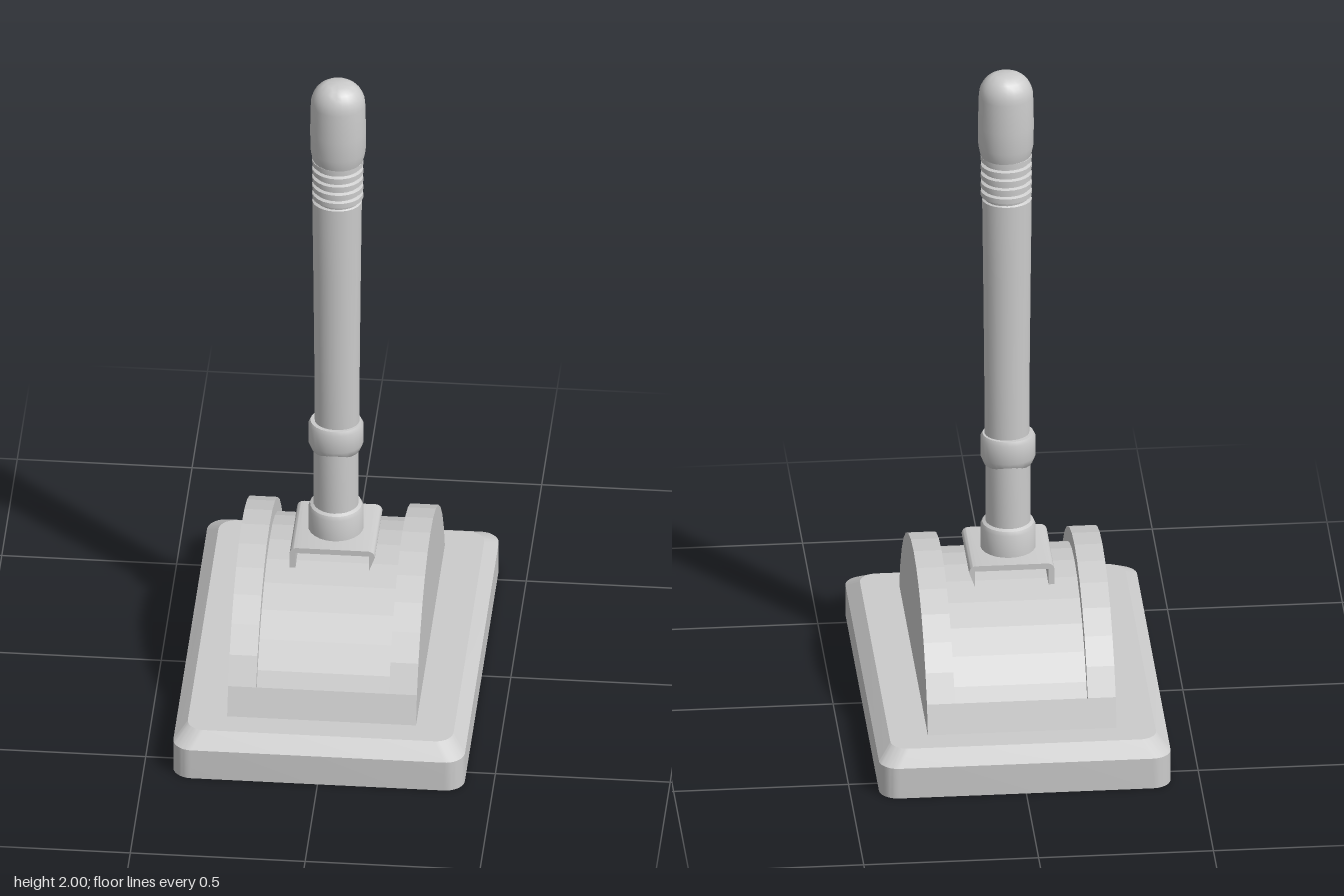
import * as THREE from 'three';
import { toCreasedNormals } from 'three/addons/utils/BufferGeometryUtils.js';

const material = new THREE.MeshStandardMaterial({ color: 0xcccccc, side: THREE.DoubleSide });

function addPart(parent, name, geometry, crease = 0.48) {
  const mesh = new THREE.Mesh(toCreasedNormals(geometry, crease), material);
  mesh.name = name;
  parent.add(mesh);
  return mesh;
}

// Slab with rounded corners whose top layer is pulled in to form a chamfer
function baseGeometry() {
  const w = 0.417, d = 0.6, r = 0.055;
  const s = new THREE.Shape();
  s.absarc(w - r, d - r, r, 0, Math.PI / 2);
  s.absarc(-w + r, d - r, r, Math.PI / 2, Math.PI);
  s.absarc(-w + r, -d + r, r, Math.PI, Math.PI * 1.5);
  s.absarc(w - r, -d + r, r, Math.PI * 1.5, Math.PI * 2);
  const g = new THREE.ExtrudeGeometry(s, { depth: 0.13, steps: 2, bevelEnabled: false, curveSegments: 6 });
  g.rotateX(-Math.PI / 2);
  const p = g.attributes.position;
  for (let i = 0; i < p.count; i++) {
    const y = p.getY(i);
    if (y > 0.1) p.setXYZ(i, p.getX(i) * 0.38 / w, 0.13, p.getZ(i) * 0.545 / d);
    else if (y > 0.03) p.setY(i, 0.095);
  }
  g.computeVertexNormals();
  return g;
}

// Extrudes a profile drawn in (z, y) sideways from x0 to x1
function sideExtrude(points, x0, x1) {
  const g = new THREE.ExtrudeGeometry(new THREE.Shape(points), { depth: x1 - x0, bevelEnabled: false });
  return g.rotateY(Math.PI / 2).translate(x0, 0, 0);
}

// Point k on the faceted dome arc, lowered by drop
function arcPoint(k, drop = 0) {
  const a = THREE.MathUtils.degToRad(k * 10.5);
  return new THREE.Vector2(0.49 * Math.sin(a), 0.49 * Math.cos(a) - 0.01 - drop);
}

function addHousing(parent) {
  const housing = new THREE.Group();
  housing.name = 'housing';
  parent.add(housing);

  // Full-height cheeks on both sides
  const cheek = [];
  for (let k = -7; k <= 7; k++) cheek.push(arcPoint(k));
  cheek[0].y = cheek[14].y = 0.125;
  addPart(housing, 'rightCheek', sideExtrude(cheek, -0.27, -0.19), 0.05);
  addPart(housing, 'leftCheek', sideExtrude(cheek, 0.19, 0.27), 0.05);

  // Recessed slot floor between the cheeks, with a lip at each end
  const floor = [cheek[0], arcPoint(-6), new THREE.Vector2(-0.427, 0.182)];
  for (let k = -5; k <= 5; k++) floor.push(arcPoint(k, 0.048));
  floor.push(new THREE.Vector2(0.427, 0.182), arcPoint(6), cheek[14]);
  addPart(housing, 'slotFloor', sideExtrude(floor, -0.19, 0.19), 0.05);
}

// Folded plate with two downturned legs
function bracketGeometry() {
  const w = 0.122, t = 0.017, top = 0.487, low = 0.42, r = 0.02;
  const s = new THREE.Shape();
  s.moveTo(w, low);
  s.absarc(w - r, top - r, r, 0, Math.PI / 2);
  s.absarc(-w + r, top - r, r, Math.PI / 2, Math.PI);
  s.lineTo(-w, low);
  s.lineTo(-w + t, low);
  s.lineTo(-w + t, top - t);
  s.lineTo(w - t, top - t);
  s.lineTo(w - t, low);
  s.closePath();
  return new THREE.ExtrudeGeometry(s, { depth: 0.246, bevelEnabled: false, curveSegments: 4 })
    .translate(0, 0, -0.123);
}

// Turned part from [radius, height] pairs; zScale makes it oval
function addTurned(parent, name, profile, zScale = 1, x = 0) {
  const g = new THREE.LatheGeometry(profile.map(([r, y]) => new THREE.Vector2(r, y)), 24);
  g.scale(1, 1, zScale).translate(x, 0, 0);
  return addPart(parent, name, g, 0.6);
}

function addLever(parent) {
  const lever = new THREE.Group();
  lever.name = 'lever';
  parent.add(lever);

  addTurned(lever, 'lowerCollar', [[0, 0.48], [0.079, 0.48], [0.079, 0.555], [0.074, 0.567], [0.065, 0.572]]);
  addTurned(lever, 'shaft', [[0.065, 0.56], [0.065, 0.78]]);
  addTurned(lever, 'upperCollar',
    [[0.065, 0.752], [0.07, 0.757], [0.079, 0.78], [0.079, 0.838], [0.073, 0.85], [0, 0.852]], 0.88);

  // Grip widens slightly toward the top
  addTurned(lever, 'grip', [[0.064, 0.84], [0.065, 1.05], [0.068, 1.35], [0.071, 1.6], [0.062, 1.605]], 0.84, 0.003);

  // Ribbed neck
  const ribs = [[0.062, 1.6]];
  for (let i = 0; i < 5; i++) {
    const y = 1.61 + i * 0.028;
    ribs.push([0.064, y], [0.073, y + 0.004], [0.073, y + 0.019], [0.064, y + 0.023]);
  }
  ribs.push([0.064, 1.75]);
  addTurned(lever, 'ribbedNeck', ribs, 0.88, 0.005);

  // Knob with rounded crown
  const knob = [[0, 1.735], [0.07, 1.735], [0.074, 1.75], [0.079, 1.775], [0.08, 1.84], [0.078, 1.93]];
  for (let i = 1; i <= 7; i++) {
    const a = i / 7 * Math.PI / 2;
    knob.push([i === 7 ? 0 : 0.018 + 0.06 * Math.cos(a), 1.93 + 0.07 * Math.sin(a)]);
  }
  addTurned(lever, 'knob', knob, 0.9, 0.006);
}

export function createModel() {
  const model = new THREE.Group();
  model.name = 'leverSwitch';
  addPart(model, 'base', baseGeometry());
  addHousing(model);
  addPart(model, 'bracket', bracketGeometry());
  addLever(model);
  return model;
}
